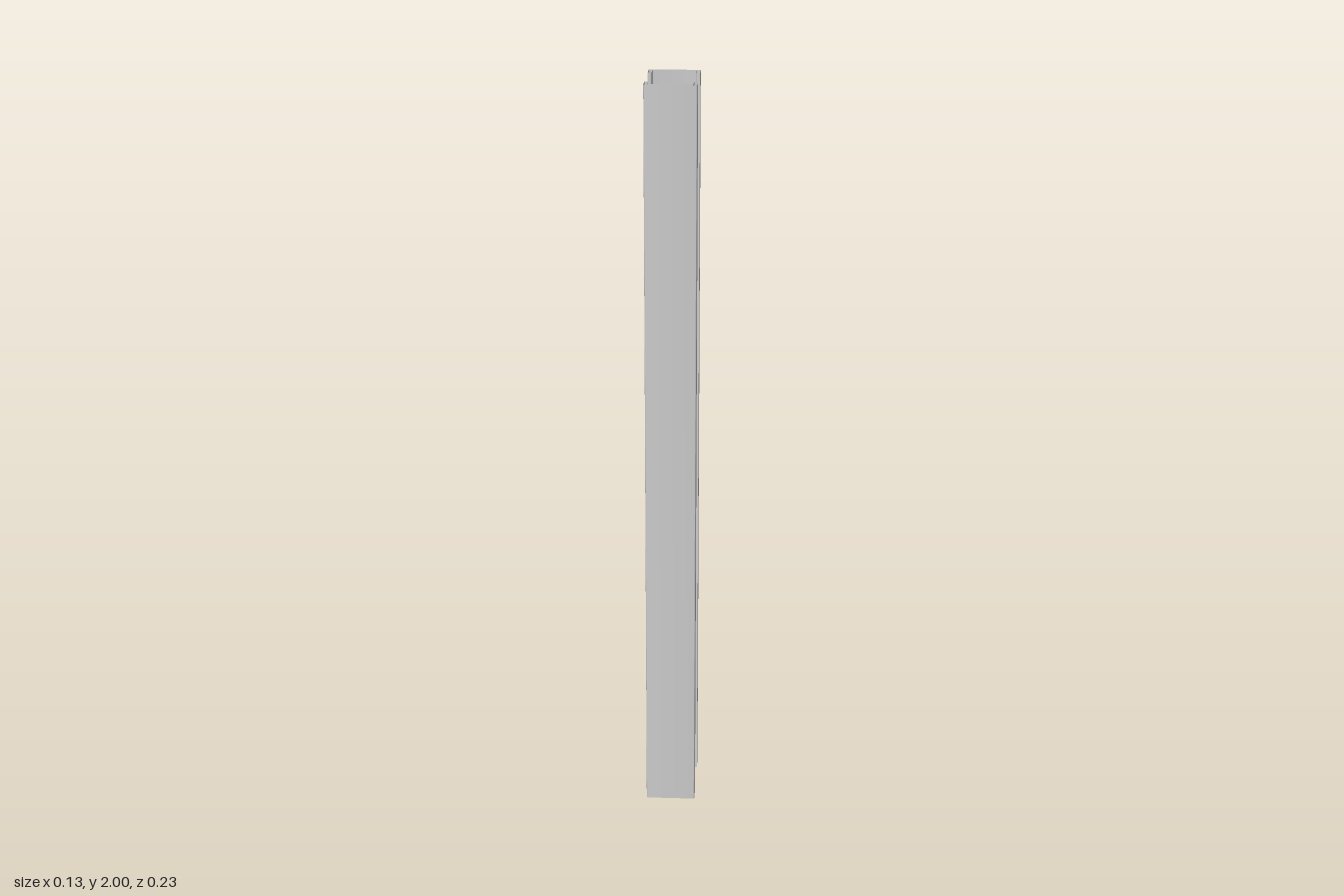
import * as THREE from 'three';
import { toCreasedNormals } from 'three/addons/utils/BufferGeometryUtils.js';

const HEIGHT = 2;
const HALF_WIDTH = 0.067;   // half the channel width
const OUTER = 0.114;        // outer face of the web
const TOE = 0.066;          // free edge of the flanges
const WALL = 0.01;

// C-shaped section, rounded at the bends, swept up without end caps
function channelGeometry() {
  const w = HALF_WIDTH, i = w - WALL, r = 0.005;
  const s = new THREE.Shape();
  s.moveTo(-w, -TOE);
  s.lineTo(-w, -OUTER + r);
  s.quadraticCurveTo(-w, -OUTER, -w + r, -OUTER);
  s.lineTo(w - r, -OUTER);
  s.quadraticCurveTo(w, -OUTER, w, -OUTER + r);
  s.lineTo(w, -TOE);
  s.lineTo(i + r, -TOE);
  s.quadraticCurveTo(i, -TOE, i, -TOE - r);
  s.lineTo(i, -OUTER + WALL + r);
  s.quadraticCurveTo(i, -OUTER + WALL, i - r, -OUTER + WALL);
  s.lineTo(-i + r, -OUTER + WALL);
  s.quadraticCurveTo(-i, -OUTER + WALL, -i, -OUTER + WALL + r);
  s.lineTo(-i, -TOE - r);
  s.quadraticCurveTo(-i, -TOE, -i - r, -TOE);
  s.closePath();
  const full = new THREE.ExtrudeGeometry(s, { depth: HEIGHT, bevelEnabled: false, curveSegments: 5 });
  // keep only the side walls
  const first = full.groups[1].start;
  const walls = new THREE.BufferGeometry();
  walls.setAttribute('position',
    new THREE.BufferAttribute(full.attributes.position.array.slice(first * 3), 3));
  walls.rotateX(-Math.PI / 2);
  return toCreasedNormals(walls, 0.6);
}

export function createModel() {
  const group = new THREE.Group();
  const steel = new THREE.MeshStandardMaterial({ color: 0xcccccc, side: THREE.DoubleSide });

  // two channels, toes facing each other
  const channel = channelGeometry();
  ['frontChannel', 'backChannel'].forEach((name, k) => {
    const mesh = new THREE.Mesh(channel, steel);
    mesh.name = name;
    mesh.rotation.y = k * Math.PI;
    group.add(mesh);
  });

  // zigzag lacing of flat bars on both sides, in opposite phase
  const count = 10, pitch = 0.185, reach = 0.094;
  const angle = Math.atan2(pitch, 2 * reach + 0.012);
  const bar = new THREE.BoxGeometry(0.004, 0.018, 2 * reach / Math.cos(angle));
  for (const side of [1, -1]) {
    const lacing = new THREE.Group();
    lacing.name = side > 0 ? 'leftLacing' : 'rightLacing';
    for (let k = 0; k < count; k++) {
      const mesh = new THREE.Mesh(bar, steel);
      mesh.name = 'lacingBar';
      mesh.position.set(side * 0.055, 0.196 + k * pitch, 0);
      const dir = k % 2 ? side : -side;   // top bar on the left rises to the back
      mesh.rotation.x = dir * angle;
      lacing.add(mesh);
    }
    group.add(lacing);
  }
  return group;
}
